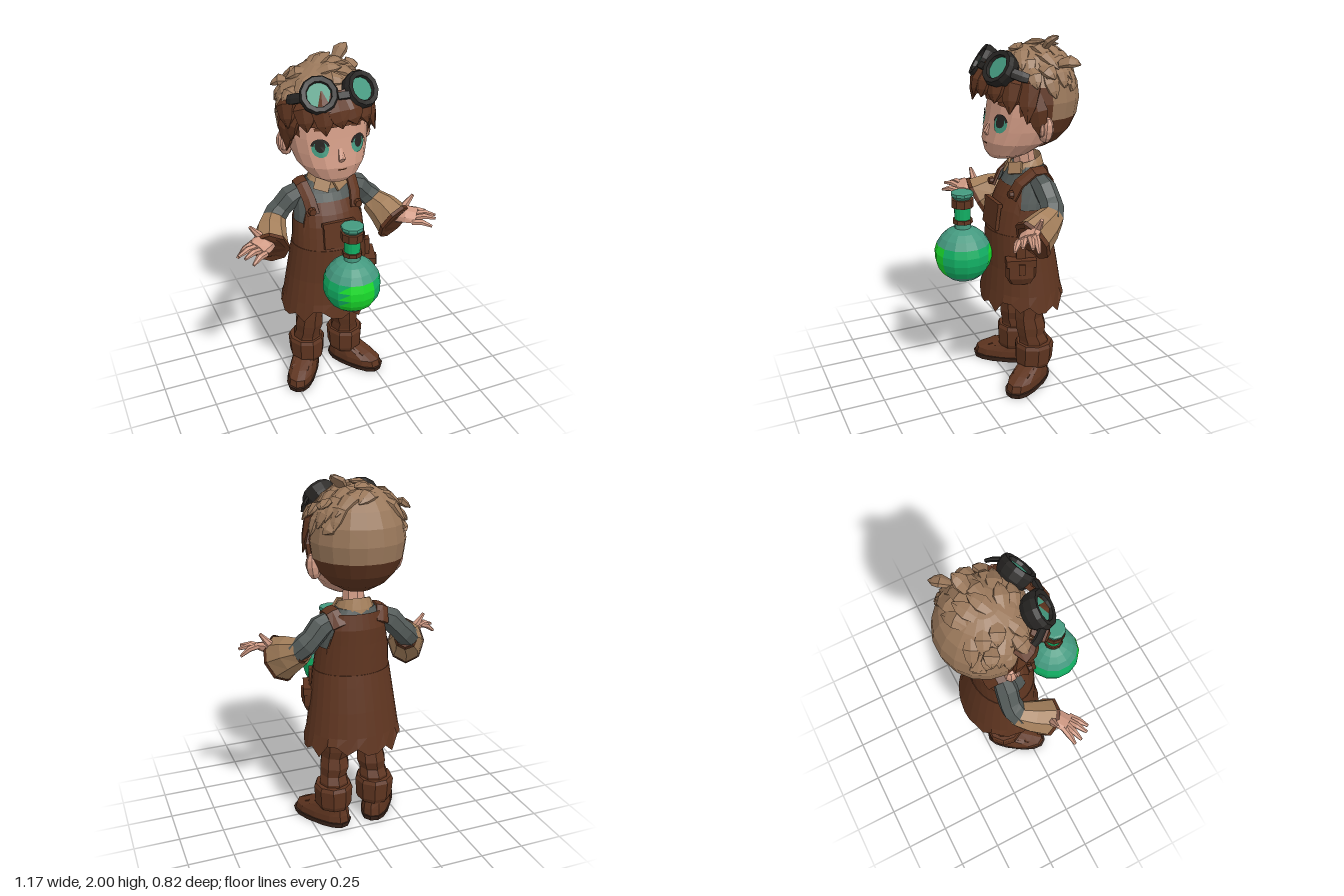
import * as THREE from 'three';

const V = (x, y, z) => new THREE.Vector3(x, y, z);
const mat = (name, color, side = THREE.FrontSide) => {
  const m = new THREE.MeshStandardMaterial({ color, side });
  m.name = name;
  return m;
};
const skin = mat('skin', 0xd09a84), hairLight = mat('lightHair', 0x9a785b);
const tan = mat('tanCloth', 0xa5805c, THREE.DoubleSide), brown = mat('brown', 0x5f3520, THREE.DoubleSide);
const dark = mat('darkBrown', 0x3a241a), grey = mat('greyShirt', 0x525957), black = mat('black', 0x262422);
const teal = mat('tealGlass', 0x44997f), green = mat('greenLiquid', 0x12b064), lime = mat('limeGlow', 0x1adc2c);

// Flat-faceted mesh; rule sorts faces by centroid into the materials, -1 removes a face
function part(parent, name, geo, mats, rule) {
  const src = geo.index ? geo.toNonIndexed() : geo, p = src.attributes.position;
  const list = [].concat(mats), buckets = list.map(() => []);
  for (let i = 0; i < p.count; i += 3) {
    const t = [0, 1, 2].map(k => V().fromBufferAttribute(p, i + k));
    const c = V(0, 0, 0).add(t[0]).add(t[1]).add(t[2]).divideScalar(3);
    const b = rule ? rule(c) : 0;
    if (b >= 0) t.forEach(v => buckets[b].push(v.x, v.y, v.z));
  }
  const out = new THREE.BufferGeometry();
  out.setAttribute('position', new THREE.Float32BufferAttribute(buckets.flat(), 3));
  let start = 0;
  if (rule) buckets.forEach((b, i) => { out.addGroup(start, b.length / 3, i); start += b.length / 3; });
  out.computeVertexNormals();
  const mesh = new THREE.Mesh(out, rule ? list : list[0]);
  mesh.name = name;
  parent.add(mesh);
  return mesh;
}

// Closed rings of points joined into a skin
function grid(rows, n, fn, cap = true) {
  const pos = [], idx = [];
  for (let i = 0; i < rows; i++) for (let j = 0; j < n; j++) pos.push(...fn(i, j / n * Math.PI * 2, j).toArray());
  for (let i = 0; i < rows - 1; i++) for (let j = 0; j < n; j++) {
    const a = i * n + j, b = i * n + (j + 1) % n;
    idx.push(a, b, b + n, a, b + n, a + n);
  }
  if (cap) for (let j = 1; j < n - 1; j++) {
    const t = (rows - 1) * n;
    idx.push(0, j + 1, j, t, t + j, t + j + 1);
  }
  const g = new THREE.BufferGeometry();
  g.setAttribute('position', new THREE.Float32BufferAttribute(pos, 3));
  g.setIndex(idx);
  return g;
}
const spow = (v, e) => Math.sign(v) * Math.abs(v) ** e;
// Level rings [x, y, z, rx, rz]
const stack = (s, n = 10, cap = true, e = 1) => grid(s.length, n, (i, a) =>
  V(s[i][0] + s[i][3] * spow(Math.sin(a), e), s[i][1], s[i][2] + s[i][4] * spow(Math.cos(a), e)), cap);
const revolve = (prof, n, cap) => stack(prof.map(([y, r]) => [0, y, 0, r, r]), n, cap);
// Rings set square to the path; ref(p) gives the direction of rz
function limb(s, n = 8, ref = () => V(0, 0, 1), cap = true) {
  const P = s.map(q => V(q[0], q[1], q[2]));
  return grid(s.length, n, (i, a) => {
    const T = P[Math.min(i + 1, s.length - 1)].clone().sub(P[Math.max(i - 1, 0)]).normalize();
    const X = T.clone().cross(ref(P[i])).normalize(), Z = X.clone().cross(T);
    return P[i].clone().addScaledVector(X, s[i][3] * Math.sin(a)).addScaledVector(Z, s[i][4] * Math.cos(a));
  }, cap);
}
const box = (w, h, d) => new THREE.BoxGeometry(w, h, d);

// Body outline by height: y, z, rx, rz
const OUTLINE = [[.5, -.1, .27, .225], [.72, -.095, .237, .195], [.95, -.075, .208, .172],
  [1.1, -.095, .192, .152], [1.2, -.12, .178, .12], [1.27, -.135, .16, .095], [1.31, -.13, .09, .08]];
function body(y, a, k = 1) {
  let i = 0;
  while (i < OUTLINE.length - 2 && y > OUTLINE[i + 1][0]) i++;
  const A = OUTLINE[i], B = OUTLINE[i + 1], t = (y - A[0]) / (B[0] - A[0]);
  const [z, rx, rz] = [1, 2, 3].map(q => A[q] + (B[q] - A[q]) * t);
  return V(rx * k * Math.sin(a), y, z + rz * k * Math.cos(a));
}

function buildHead(root) {
  const g = new THREE.Group(); g.name = 'head'; root.add(g);
  part(g, 'neck', stack([[0, 1.27, -.12, .065, .065], [0, 1.42, -.1, .06, .06]], 8), skin);
  const face = part(g, 'face', stack([[0, 1.36, 0, .08, .09], [0, 1.385, -.01, .13, .115], [0, 1.45, -.06, .185, .177],
    [0, 1.52, -.09, .208, .192], [0, 1.6, -.11, .22, .197], [0, 1.7, -.13, .222, .2], [0, 1.82, -.15, .16, .16]], 16, true, .87), skin);
  part(g, 'nose', limb([[0, 1.56, .086, .01, .004], [0, 1.5, .116, .02, .014], [0, 1.475, .1, .014, .006]], 6), skin);
  // Painted features are thin plates laid on the face
  const ray = new THREE.Raycaster();
  const drape = (name, geo, x, y, off, m) => {
    geo.translate(x, y, 0);
    const p = geo.attributes.position;
    for (let i = 0; i < p.count; i++) {
      ray.set(V(p.getX(i), p.getY(i), 1), V(0, 0, -1));
      const hit = ray.intersectObject(face)[0];
      p.setZ(i, (hit ? hit.point.z : 0) + off);
    }
    part(g, name, geo, m);
  };
  const oval = (w, h) => new THREE.CircleGeometry(1, 14).scale(w, h, 1);
  for (const s of [1, -1]) {
    drape('iris', oval(.042, .047), s * .105, 1.558, .005, teal);
    drape('pupil', oval(.025, .032), s * .107, 1.57, .007, black);
    // Upper lash: arc over the iris
    drape('upperLash', new THREE.RingGeometry(.8, 1.1, 10, 1, .25, Math.PI - .5).scale(.043, .046, 1), s * .105, 1.56, .008, black);
    drape('eyebrow', new THREE.PlaneGeometry(.06, .016, 4, 1).rotateZ(-s * .15), s * .1, 1.66, .007, brown);
    const ear = part(g, 'ear', new THREE.SphereGeometry(1, 8, 6).scale(.045, .072, .036), skin);
    ear.position.set(s * .225, 1.535, -.13); ear.rotation.set(0, s * .35, -s * .12);
    const inner = part(g, 'earHollow', new THREE.SphereGeometry(1, 6, 4).scale(.022, .04, .014), skin);
    inner.position.set(s * .24, 1.54, -.1);
  }
  drape('mouth', new THREE.PlaneGeometry(.05, .008, 4, 1), 0, 1.443, .006, brown);

  // Hair cap in two tones, open over the face
  const C = V(0, 1.67, -.155);
  part(g, 'hairCap', new THREE.SphereGeometry(1, 18, 10).scale(.253, .28, .253).translate(C.x, C.y, C.z), [hairLight, brown], c => {
    if (c.z > -.14 && c.y < 1.583 || c.z > -.02 && c.y < 1.67) return -1;
    return c.y < 1.583 || c.z > -.13 && c.y < 1.757 ? 1 : 0;
  });
  const out = p => p.clone().sub(C).normalize();
  const lock = (name, a, m, b, w, t, material) => {
    const q = m.map((v, i) => v + (b[i] - v) * .55);
    part(g, name, limb([[...a, w * .6, t * .6], [...m, w, t], [...q, w * .7, t * .75], [...b, .004, .003]], 6, out), material);
  };
  const top = (x, z, h) => {
    const k = Math.min(1, .245 / Math.hypot(x, z - C.z)), X = x * k, Z = (z - C.z) * k;
    return [X * (1 + h), C.y + .28 * Math.sqrt(1 - (X * X + Z * Z) / .0625) + h, C.z + Z * (1 + h)];
  };
  // Long flat tufts swept over the crown
  [-.27, -.21, -.14, -.07, -.01].forEach((z, r) => [-.19, -.12, -.04, .04, .11, .16].forEach((x, c) => {
    const dx = x < -.1 ? -.07 : .1 + (c % 2) * .03, dz = (r < 3 ? -.06 : .025) + (c % 2) * .025;
    const h = .014 + ((r * 3 + c * 2) % 4) * .007;
    lock('crownTuft', top(x - dx * .25, z - dz * .25, -.016), top(x + dx * .35, z + dz * .35, .004), top(x + dx, z + dz, h), .045, .018, hairLight);
  }));
  for (const [x, y, z, tx, ty, tz] of [[-.17, 1.84, -.08, -.258, 1.78, -.05], [-.18, 1.85, -.2, -.255, 1.82, -.24],
    [.18, 1.86, -.22, .25, 1.86, -.31], [.18, 1.85, -.12, .262, 1.8, -.16], [.08, 1.92, -.18, .165, 2, -.22],
    [.18, 1.84, -.06, .262, 1.76, -.06], [-.2, 1.82, -.12, -.262, 1.7, -.15], [.2, 1.82, -.14, .258, 1.7, -.17]])
    lock('sideTuft', [x, y, z], [(x + tx) / 2, (y + ty) / 2 + .015, (z + tz) / 2], [tx, ty, tz], .045, .022, hairLight);
  // Dark fringe under the goggles, swept to the left
  for (const [x, y] of [[-.245, 1.66], [-.18, 1.665], [-.1, 1.655], [-.02, 1.69], [.06, 1.7], [.14, 1.68], [.2, 1.63], [.245, 1.58]]) {
    const z = -.145 + .315 * Math.sqrt(1 - (x / .27) ** 2);
    lock('fringe', [x * .75 - .02, Math.abs(x) > .15 ? 1.81 : 1.86, z - .08], [x * .93 - .015, 1.77, z - .025], [x, y, z], .066, .032, brown);
  }
  for (const s of [1, -1]) {
    lock('sideburn', [s * .21, 1.74, -.06], [s * .235, 1.64, -.075], [s * .226, 1.5, -.1], .06, .022, brown);
    lock('templeLock', [s * .2, 1.74, 0], [s * .226, 1.68, -.02], [s * .222, 1.58, -.04], .045, .022, brown);
  }

  // Goggles pushed up on the forehead
  const gog = new THREE.Group(); gog.name = 'goggles'; g.add(gog);
  for (const s of [1, -1]) {
    const e = new THREE.Group(); e.name = 'eyepiece'; gog.add(e);
    e.position.set(s * .112, 1.845, .078);
    e.quaternion.setFromUnitVectors(V(0, 1, 0), V(s * .25, .55, .8).normalize());
    part(e, 'rim', revolve([[-.06, .075], [-.03, .094], [.012, .1], [.035, .09], [.032, .066], [.008, .06]], 12, false), black);
    part(e, 'lens', new THREE.CircleGeometry(.064, 12).rotateX(-Math.PI / 2).translate(0, .014, 0), teal);
    part(gog, 'strap', limb([[s * .19, 1.84, .06, .028, .012], [s * .228, 1.82, .01, .03, .012], [s * .24, 1.81, -.02, .026, .01]], 6, out), black);
  }
  const bridge = part(gog, 'bridge', box(.06, .035, .04), black);
  bridge.position.set(0, 1.84, .12); bridge.rotation.x = -.7;
}

function buildClothes(root) {
  const g = new THREE.Group(); g.name = 'clothes'; root.add(g);
  part(g, 'shirt', grid(7, 20, (i, a) => body(.94 + i * .06, a)), grey);
  // Apron: ragged hem, waist step, armholes cut into the top edge
  const low = [.5, .6, .74, .88, .945], jag = [0, .045, .01, .055, -.02, .03];
  part(g, 'apron', grid(10, 30, (i, a, j) => {
    if (i < 5) { const p = body(low[i], a, 1.035); if (!i) p.y += jag[(j * 5 + (j >> 2)) % 6]; return p; }
    const c = Math.cos(a), rim = c > .6 ? 1.2 : c < -.55 ? 1.28 : 1.09;
    return body(.945 + (rim - .945) * (i - 5) / 4, a, c < -.55 && i > 7 ? 1.08 : 1.02 + (i - 5) * .004);
  }, false), brown);
  part(g, 'hips', stack([[0, .53, -.1, .19, .13], [0, .7, -.1, .2, .15]], 12), brown);
  const pocket = part(g, 'bibPocket', box(.18, .14, .02), brown);
  pocket.position.set(0, 1.03, .082); pocket.rotation.x = -.13;
  const hem = part(g, 'pocketHem', box(.19, .022, .026), brown);
  hem.position.set(0, 1.1, .072); hem.rotation.x = -.13;
  // Collar
  part(g, 'collar', grid(3, 14, (i, a) => {
    const b = (1 - Math.cos(a)) / 2, r = [.108, .102, .085][i];
    return V(r * Math.sin(a), [1.265, 1.3, 1.31 + b * .05][i], -.125 + r * Math.cos(a) * .92);
  }, false), tan);
  for (const s of [1, -1]) {
    const flap = part(g, 'collarFlap', box(.085, .065, .014), tan);
    flap.position.set(s * .052, 1.292, -.035); flap.rotation.set(-.5, s * .4, s * .45);
    part(g, 'strap', limb([[s * .125, 1.15, .02, .04, .012], [s * .135, 1.23, -.022, .04, .012], [s * .145, 1.288, -.1, .038, .012],
      [s * .14, 1.288, -.17, .04, .012], [s * .12, 1.22, -.222, .042, .012]], 6, p => V(p.x * .5, p.y - 1.1, p.z + .125)), brown);
    const button = part(g, 'button', new THREE.CylinderGeometry(.02, .024, .022, 8).rotateX(Math.PI / 2), brown);
    button.position.set(s * .135, 1.175, .03);
  }
  // Pouch on the left hip
  const pouch = new THREE.Group(); pouch.name = 'pouch'; g.add(pouch);
  pouch.position.set(.21, .765, .0); pouch.rotation.y = -.3;
  part(pouch, 'bag', stack([[0, -.08, 0, .032, .06], [0, -.04, 0, .05, .085], [0, .03, 0, .045, .085], [0, .06, 0, .03, .075]], 8, true, .7), brown);
  part(pouch, 'flap', box(.075, .04, .165), brown).position.set(.005, .045, 0);
  part(pouch, 'flapTab', box(.02, .06, .035), brown).position.set(.045, .015, 0);
  part(pouch, 'loop', box(.03, .1, .05), brown).position.set(-.005, .11, 0);
}

function buildArm(root, s) {
  const g = new THREE.Group(); g.name = s > 0 ? 'leftArm' : 'rightArm'; root.add(g);
  const P = l => l.map(([x, ...r]) => [s * x, ...r]), up = () => V(0, 1, 0);
  part(g, 'sleeve', limb(P([[.14, 1.235, -.135, .055, .055], [.2, 1.205, -.14, .066, .064], [.25, 1.15, -.148, .06, .062],
    [.28, 1.12, -.145, .066, .066], [.33, 1.07, -.12, .06, .06]]), 7), grey);
  // Bell cuff with dark lining
  const cuff = [[.3, 1.085, -.14, .068, .072], [.34, 1.05, -.075, .085, .1], [.374, 1, .01, .1, .124]];
  part(g, 'cuff', limb(P(cuff), 8, up, false), tan);
  part(g, 'cuffLining', limb(P([...cuff.slice(0, 2).map(c => [...c.slice(0, 3), c[3] - .012, c[4] - .012]),
    [.376, .997, .014, .092, .116]]), 8, up), brown);
  part(g, 'cuffHem', limb(P([[.37, 1.006, 0, .105, .13], [.378, .994, .02, .106, .131], [.376, .997, .016, .085, .108]]), 8, up, false), brown);
  // Open palm tipped forward, spread fingers
  const tip = () => V(-s * .2, .9, .35);
  part(g, 'palm', limb(P([[.33, 1.02, -.05, .04, .036], [.38, 1.035, .01, .042, .036], [.43, 1.055, .055, .062, .034],
    [.475, 1.055, .09, .06, .022]]), 8, tip), skin);
  [[.04, .58, 1.015, .075], [.014, .582, 1.045, .11], [-.013, .56, 1.05, .155], [-.04, .525, 1.02, .182]].forEach(([k, x, y, z]) => {
    const bx = .46 + k * .6, bz = .083 - k * .8, by = 1.052 + k * .5;
    part(g, 'finger', limb(P([[bx, by, bz, .02, .018], [(bx + x) / 2, (by + y) / 2 + .012, (bz + z) / 2, .019, .017], [x, y, z, .009, .008]]), 6, up), skin);
  });
  part(g, 'thumb', limb(P([[.4, 1.05, .02, .026, .024], [.445, 1.1, .012, .021, .02], [.485, 1.15, .015, .009, .009]]), 6, up), skin);
}

function buildLeg(root, s) {
  const g = new THREE.Group(); g.name = s > 0 ? 'leftLeg' : 'rightLeg'; root.add(g);
  const P = l => l.map(([x, ...r]) => [s * x, ...r]);
  part(g, 'trouser', stack(P([[.125, .2, -.12, .08, .085], [.122, .27, -.125, .084, .088], [.12, .31, -.11, .076, .082], [.112, .36, -.11, .086, .092],
    [.11, .42, -.1, .076, .084], [.102, .47, -.11, .086, .092], [.1, .6, -.11, .09, .1]]), 8), brown);
  part(g, 'bootCuff', stack(P([[.125, .11, -.125, .092, .1], [.126, .135, -.125, .104, .11], [.127, .235, -.127, .11, .116],
    [.127, .255, -.127, .1, .106]]), 9), brown);
  const boot = new THREE.Group(); boot.name = 'boot'; g.add(boot);
  boot.position.set(s * .132, 0, -.128); boot.rotation.y = s * .6;
  part(boot, 'sole', stack([[0, 0, .075, .08, .182], [0, .03, .075, .086, .19]], 14, true, .8), dark);
  part(boot, 'upper', stack([[0, .03, .073, .08, .182], [0, .07, .07, .08, .174], [0, .1, .042, .074, .138],
    [0, .13, .005, .07, .092], [0, .18, -.005, .072, .08]], 12, true, .85), brown);
  for (const [y, z] of [[.11, .1], [.097, .145]]) {
    const band = part(boot, 'bootStrap', box(.1, .018, .03), brown);
    band.position.set(0, y, z); band.rotation.x = .5;
  }
}

function buildFlask(root) {
  const g = new THREE.Group(); g.name = 'flask'; root.add(g);
  g.position.set(0, .823, .255);
  const prof = [];
  for (let k = 0; k < 11; k++) prof.push([-.16 * Math.cos(k * Math.PI / 11), Math.max(.004, .16 * Math.sin(k * Math.PI / 11))]);
  prof.push([.18, .044], [.215, .044], [.27, .046], [.335, .046]);
  part(g, 'glass', revolve(prof, 14), [teal, green, lime], c => {
    if (c.y > .066) return c.y > .19 && c.y < .27 ? 1 : 0;
    if (c.y < -.11) return 0;
    const front = c.z > .07 && Math.abs(c.x + .015) < .085 && c.y > -.1, back = c.z < -.08 && c.x > .04 && Math.abs(c.y) < .05;
    return front || back ? 2 : 1;
  });
  part(g, 'upperBand', new THREE.CylinderGeometry(.062, .062, .045, 9), brown).position.y = .298;
  part(g, 'lowerBand', new THREE.CylinderGeometry(.054, .056, .022, 9), brown).position.y = .193;
  part(g, 'lip', revolve([[.32, .046], [.338, .062], [.355, .062], [.36, .05]], 9), teal);
}

export function createModel() {
  const root = new THREE.Group();
  root.name = 'youngAlchemist';
  buildHead(root);
  buildClothes(root);
  for (const s of [1, -1]) { buildArm(root, s); buildLeg(root, s); }
  buildFlask(root);
  return root;
}
